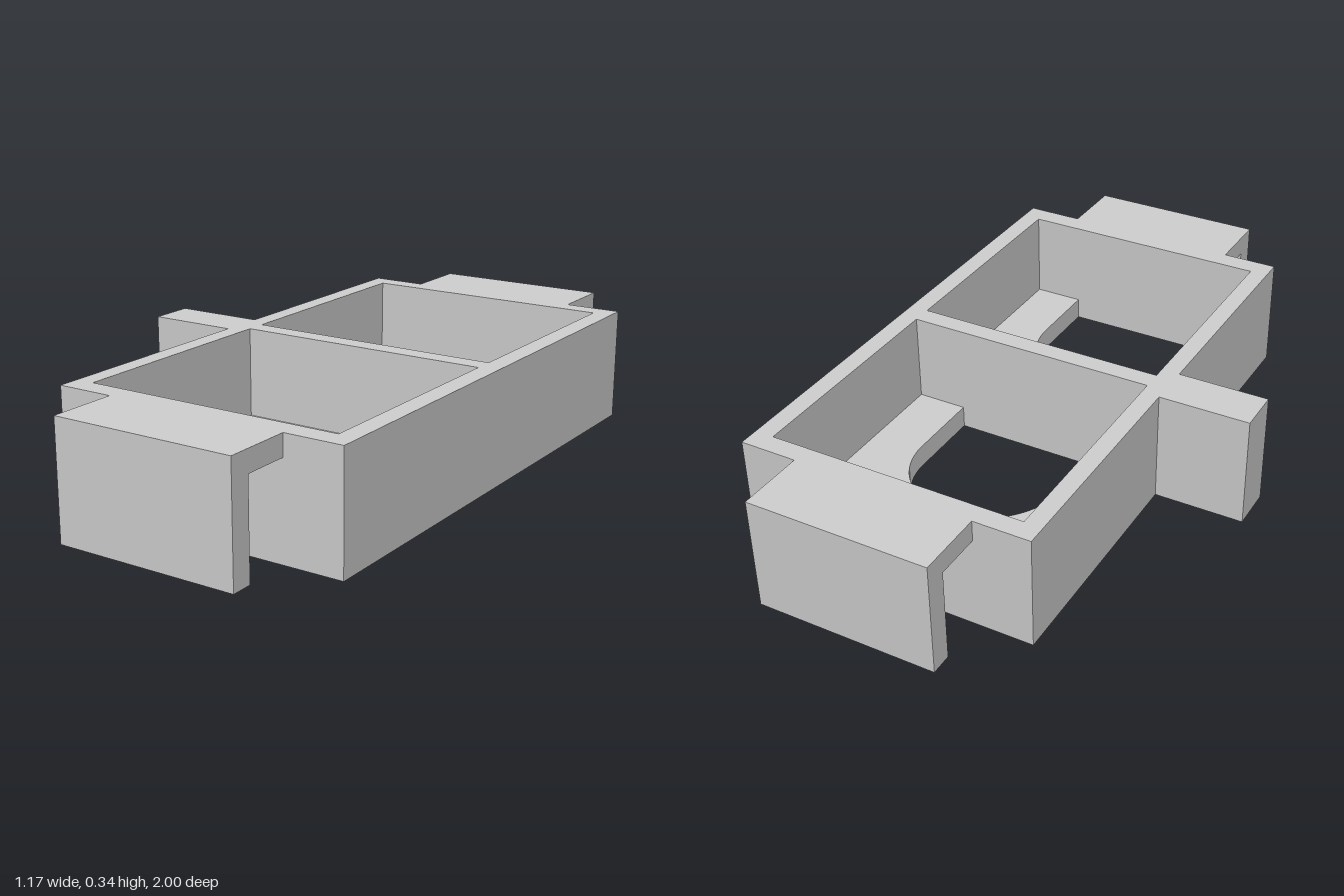
import * as THREE from 'three';

const H = 0.343, FLOOR = 0.069;          // overall height, tray floor thickness
const X0 = -0.31, X1 = 0.583, Z = 0.795; // tray outline
const PX0 = -0.255, PX1 = 0.525;         // pocket width
const POCKETS = [[-0.735, -0.03], [0.03, 0.73]]; // pocket z ranges
const CX = 0.135, R = 0.235;             // arched opening

const material = new THREE.MeshStandardMaterial({ color: 0xcccccc });

function rectangle(Type, x0, z0, x1, z1) {
  const p = new Type();
  p.moveTo(x0, z0);
  p.lineTo(x1, z0);
  p.lineTo(x1, z1);
  p.lineTo(x0, z1);
  p.closePath();
  return p;
}

// Plan shape (x, z) made solid between two heights
function slab(shape, bottom, top) {
  const g = new THREE.ExtrudeGeometry(shape, { depth: top - bottom, bevelEnabled: false, curveSegments: 32 });
  return g.rotateX(Math.PI / 2).translate(0, top, 0);
}

export function createModel() {
  const group = new THREE.Group();
  const add = (name, geometry) => {
    const mesh = new THREE.Mesh(geometry, material);
    mesh.name = name;
    group.add(mesh);
  };

  // Floor with an arched opening, and walls around two pockets
  const floor = rectangle(THREE.Shape, X0, -Z, X1, Z);
  const walls = rectangle(THREE.Shape, X0, -Z, X1, Z);
  for (const [z0, z1] of POCKETS) {
    walls.holes.push(rectangle(THREE.Path, PX0, z0, PX1, z1));
    const arch = new THREE.Path();
    arch.moveTo(CX + R, z1);
    arch.lineTo(CX - R, z1);
    arch.absarc(CX, z1 - 0.235, R, Math.PI, Math.PI * 2, false);
    arch.closePath();
    floor.holes.push(arch);
  }
  add('trayFloor', slab(floor, 0, FLOOR));
  add('trayWalls', slab(walls, FLOOR, H));

  // L-shaped hooks at both ends
  for (const [name, s] of [['frontHook', 1], ['backHook', -1]]) {
    const profile = new THREE.Shape(
      [[Z, 0.28], [0.935, 0.28], [0.935, 0], [1, 0], [1, H], [Z, H]].map(([z, y]) => new THREE.Vector2(s * z, y))
    );
    const g = new THREE.ExtrudeGeometry(profile, { depth: 0.548, bevelEnabled: false });
    add(name, g.rotateY(-Math.PI / 2).translate(0.409, 0, 0));
  }

  // Solid tab on the right side
  add('sideTab', slab(rectangle(THREE.Shape, -0.585, -0.068, X0, 0.067), 0, H));

  return group;
}
